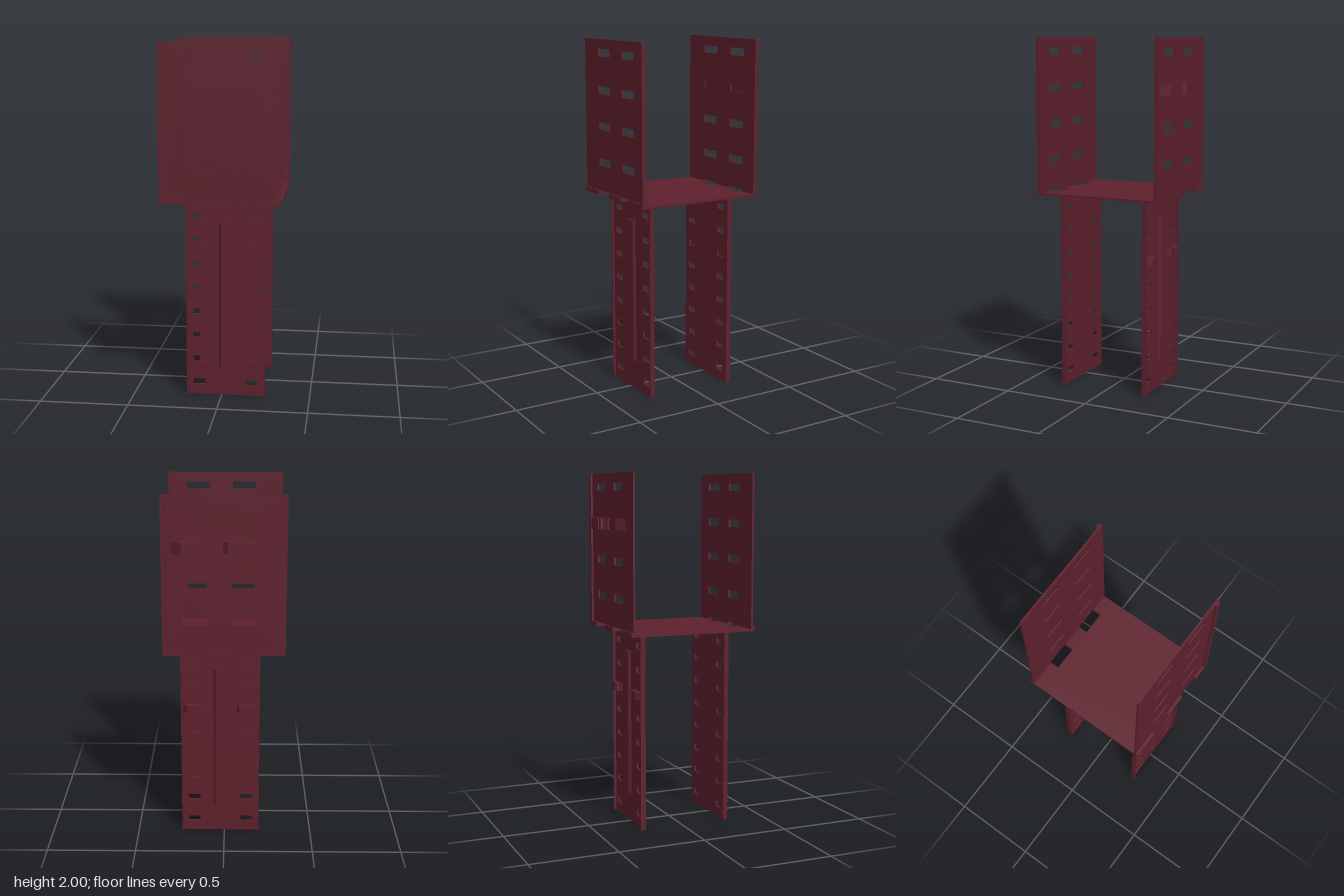
import * as THREE from 'three';

const material = new THREE.MeshStandardMaterial({ color: 0x5e202d });

function add(group, name, geometry) {
  const mesh = new THREE.Mesh(geometry, material);
  mesh.name = name;
  group.add(mesh);
}

// Axis-aligned block given by its limits
function block(x0, x1, y0, y1, z0, z1) {
  return new THREE.BoxGeometry(x1 - x0, y1 - y0, z1 - z0)
    .translate((x0 + x1) / 2, (y0 + y1) / 2, (z0 + z1) / 2);
}

const shapeOf = (points) => new THREE.Shape(points.map(([x, y]) => new THREE.Vector2(x, y)));
const rect = (x0, x1, y0, y1) => [[x0, y0], [x1, y0], [x1, y1], [x0, y1]];

// Upright sheet pierced by rows of slots
function slottedPlate(x0, x1, y0, y1, z0, z1, columns, rows, slotHeight) {
  const shape = shapeOf(rect(x0, x1, y0, y1));
  for (const y of rows) {
    for (const [a, b] of columns) {
      shape.holes.push(shapeOf(rect(a, b, y - slotHeight / 2, y + slotHeight / 2)));
    }
  }
  return new THREE.ExtrudeGeometry(shape, { depth: z1 - z0, bevelEnabled: false }).translate(0, 0, z0);
}

// Plan outline in x and z, extruded between two heights
function fromPlan(points, y0, y1) {
  return new THREE.ExtrudeGeometry(shapeOf(points), { depth: y1 - y0, bevelEnabled: false })
    .rotateX(Math.PI / 2).translate(0, y1, 0);
}

// Clip profile: distance along the slot from its outer end, and height off the sheet
const clipProfile = [
  [-0.05, 0], [0.005, 0.037], [0.112, 0.037], [0.112, 0.022], [0.135, 0.022], [0.135, 0.037],
  [0.155, 0.037], [0.155, 0.022], [0.183, 0],
];

function addClips(group, name, y0, y1, z, [leftEnd, rightEnd], sx, sz) {
  for (const [start, dir] of [[leftEnd, 1], [rightEnd, -1]]) {
    add(group, name, fromPlan(clipProfile.map(([u, h]) => [start + dir * u * sx, z - h * sz]), y0, y1));
  }
}

function createTray() {
  const tray = new THREE.Group();
  tray.name = 'upperTray';
  const W = 0.335;
  const columns = [[-0.177, -0.042], [0.092, 0.227]];
  const rows = [1.924, 1.718, 1.515, 1.309];

  // Floor with notches at both bends
  const plan = [[-W, -0.36]];
  for (const [a, b] of columns) plan.push([a, -0.36], [a, -0.287], [b, -0.287], [b, -0.36]);
  plan.push([W, -0.36], [W, 0.385]);
  for (const [a, b] of [...columns].reverse()) plan.push([b, 0.385], [b, 0.31], [a, 0.31], [a, 0.385]);
  plan.push([-W, 0.385]);
  add(tray, 'floor', fromPlan(plan, 1.12, 1.133));

  // Walls: inner face, outer face and lip face
  for (const [side, inner, outer, lip] of [['front', 0.36, 0.371, 0.385], ['back', -0.337, -0.348, -0.36]]) {
    const z = [inner, outer].sort((a, b) => a - b);
    const l = [outer, lip].sort((a, b) => a - b);
    add(tray, side + 'Wall', slottedPlate(-W, W, 1.145, 2, ...z, columns, rows, 0.043));
    add(tray, side + 'WallLip', block(0.308, W, 1.145, 2, ...l));
    // Bend segments between the notches
    for (const [a, b] of [[-W, -0.177], [-0.042, 0.092], [0.227, W]]) {
      add(tray, side + 'Bend', block(a, b, 1.133, 1.145, Math.min(inner, lip), Math.max(inner, lip)));
    }
  }

  addClips(tray, 'upperClip', 1.687, 1.752, -0.348, [-0.177, 0.231], 1, 1);
  return tray;
}

function createLegs() {
  const legs = new THREE.Group();
  legs.name = 'legs';
  const x0 = -0.2, x1 = 0.245, top = 1.115;
  const columns = [[-0.163, -0.095], [0.14, 0.208]];
  const rows = Array.from({ length: 8 }, (_, i) => 0.074 + i * 0.1387);

  for (const [side, inner, outer, lip] of [['front', 0.26, 0.273, 0.287], ['back', -0.225, -0.24, -0.255]]) {
    const z = [inner, outer].sort((a, b) => a - b);
    const l = [outer, lip].sort((a, b) => a - b);
    add(legs, side + 'Leg', slottedPlate(x0, x1, 0, top, ...z, columns, rows, 0.032));
    add(legs, side + 'LegEdge', block(x0, x0 + 0.007, 0, top, ...l));
    add(legs, side + 'LegEdge', block(x1 - 0.007, x1, 0, top, ...l));
    // Stiffening rib with sloped flanks
    const rib = [[-0.015, outer], [0.06, outer], [0.05, lip], [-0.005, lip]];
    add(legs, side + 'Rib', fromPlan(rib, 0.167, 1));
  }

  addClips(legs, 'lowerClip', 0.745, 0.79, -0.24, [-0.163, 0.208], 0.5, 0.86);
  return legs;
}

export function createModel() {
  const model = new THREE.Group();
  model.name = 'slottedBracket';
  model.add(createTray(), createLegs());
  // Centre the depth
  model.position.z = -0.001;
  return model;
}
